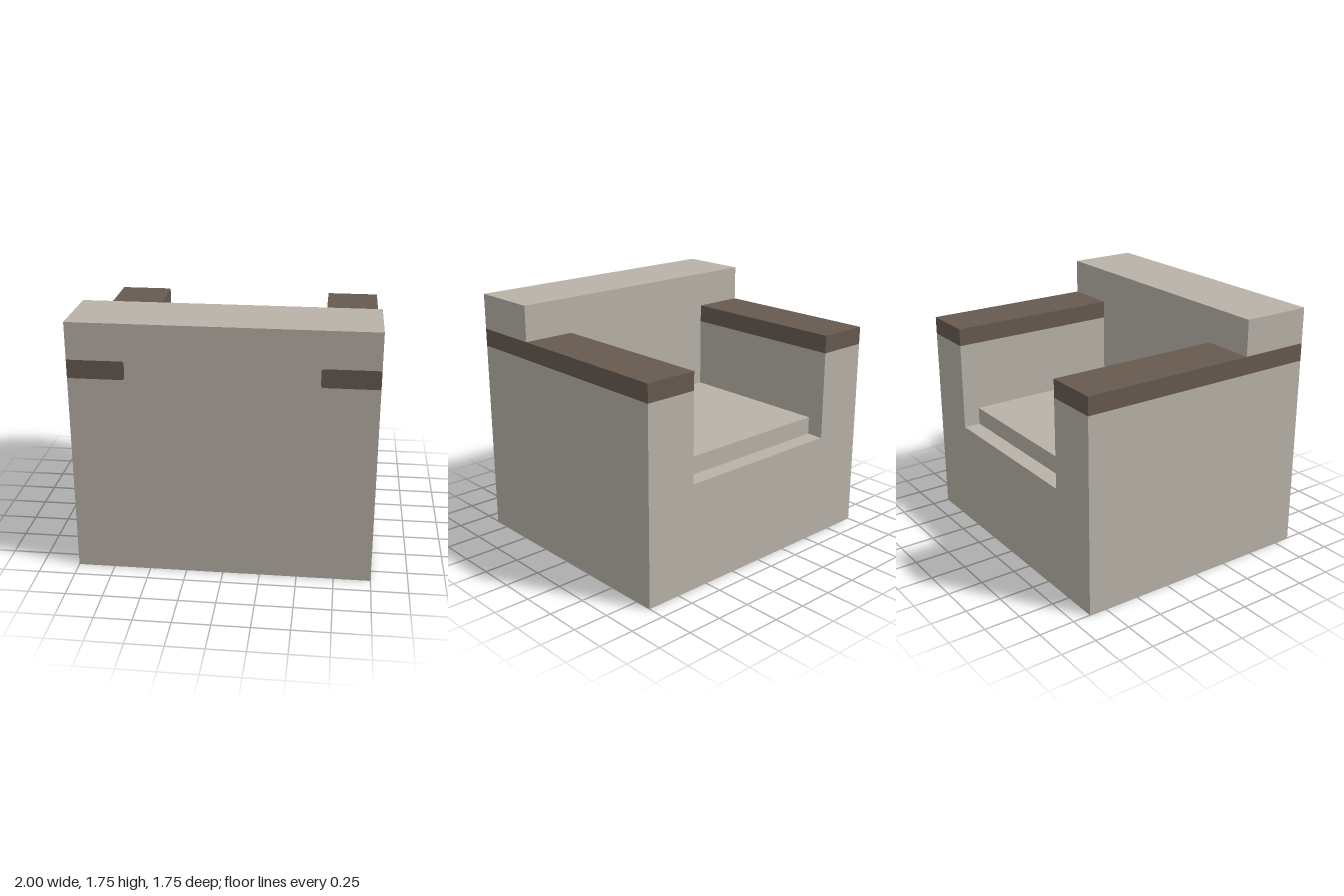
import * as THREE from 'three';

// Main dimensions
const W = 1, INNER = 0.625, FRONT = -0.875, BACK = 0.875, REST = 0.375;
const SEAT = 0.75, CUSHION = 0.875, CAP = 1.375, ARM = 1.5, TOP = 1.75, R = 0.02;

const polygon = (points) => new THREE.Shape(points.map(([x, y]) => new THREE.Vector2(x, y)));

export function createModel() {
  const group = new THREE.Group();
  group.name = 'armchair';
  const fabric = new THREE.MeshStandardMaterial({ color: 0xb8b2a8 });
  fabric.name = 'greige fabric';
  const wood = new THREE.MeshStandardMaterial({ color: 0x675a50 });
  wood.name = 'dark brown wood';

  // Extrude a front-on outline between two depths
  const slab = (name, shape, z0, z1, material) => {
    const geometry = new THREE.ExtrudeGeometry(shape, {
      depth: z1 - z0, bevelEnabled: false, curveSegments: 6,
    });
    geometry.translate(0, 0, z0);
    const mesh = new THREE.Mesh(geometry, material);
    mesh.name = name;
    group.add(mesh);
  };

  // U-shaped body: seat base and both arm walls
  slab('seatAndArms', polygon([
    [-W, 0], [W, 0], [W, CAP], [INNER, CAP], [INNER, SEAT],
    [-INNER, SEAT], [-INNER, CAP], [-W, CAP],
  ]), FRONT, REST, fabric);

  // Seat cushion, set back from the front edge
  slab('seatCushion', polygon([
    [-INNER, SEAT], [INNER, SEAT], [INNER, CUSHION], [-INNER, CUSHION],
  ]), -0.755, REST, fabric);

  // Backrest, slotted at both sides for the armrest rails
  const back = new THREE.Shape();
  back.moveTo(-W, 0);
  back.lineTo(W, 0);
  back.lineTo(W, CAP);
  back.lineTo(INNER + R, CAP);
  back.quadraticCurveTo(INNER, CAP, INNER, CAP + R);
  back.lineTo(INNER, ARM - R);
  back.quadraticCurveTo(INNER, ARM, INNER + R, ARM);
  back.lineTo(W, ARM);
  back.lineTo(W, TOP);
  back.lineTo(-W, TOP);
  back.lineTo(-W, ARM);
  back.lineTo(-INNER - R, ARM);
  back.quadraticCurveTo(-INNER, ARM, -INNER, ARM - R);
  back.lineTo(-INNER, CAP + R);
  back.quadraticCurveTo(-INNER, CAP, -INNER - R, CAP);
  back.lineTo(-W, CAP);
  back.closePath();
  slab('backrest', back, REST, BACK, fabric);

  // Armrest tops, each running on through the backrest as a rounded rail
  for (const [side, s] of [['left', 1], ['right', -1]]) {
    slab(side + 'Armrest', polygon([
      [s * INNER, CAP], [s * W, CAP], [s * W, ARM], [s * INNER, ARM],
    ]), FRONT, REST, wood);
    const rail = new THREE.Shape();
    rail.moveTo(s * W, CAP);
    rail.lineTo(s * W, ARM);
    rail.lineTo(s * (INNER + R), ARM);
    rail.quadraticCurveTo(s * INNER, ARM, s * INNER, ARM - R);
    rail.lineTo(s * INNER, CAP + R);
    rail.quadraticCurveTo(s * INNER, CAP, s * (INNER + R), CAP);
    rail.closePath();
    slab(side + 'ArmrestRail', rail, REST, BACK, wood);
  }
  return group;
}
